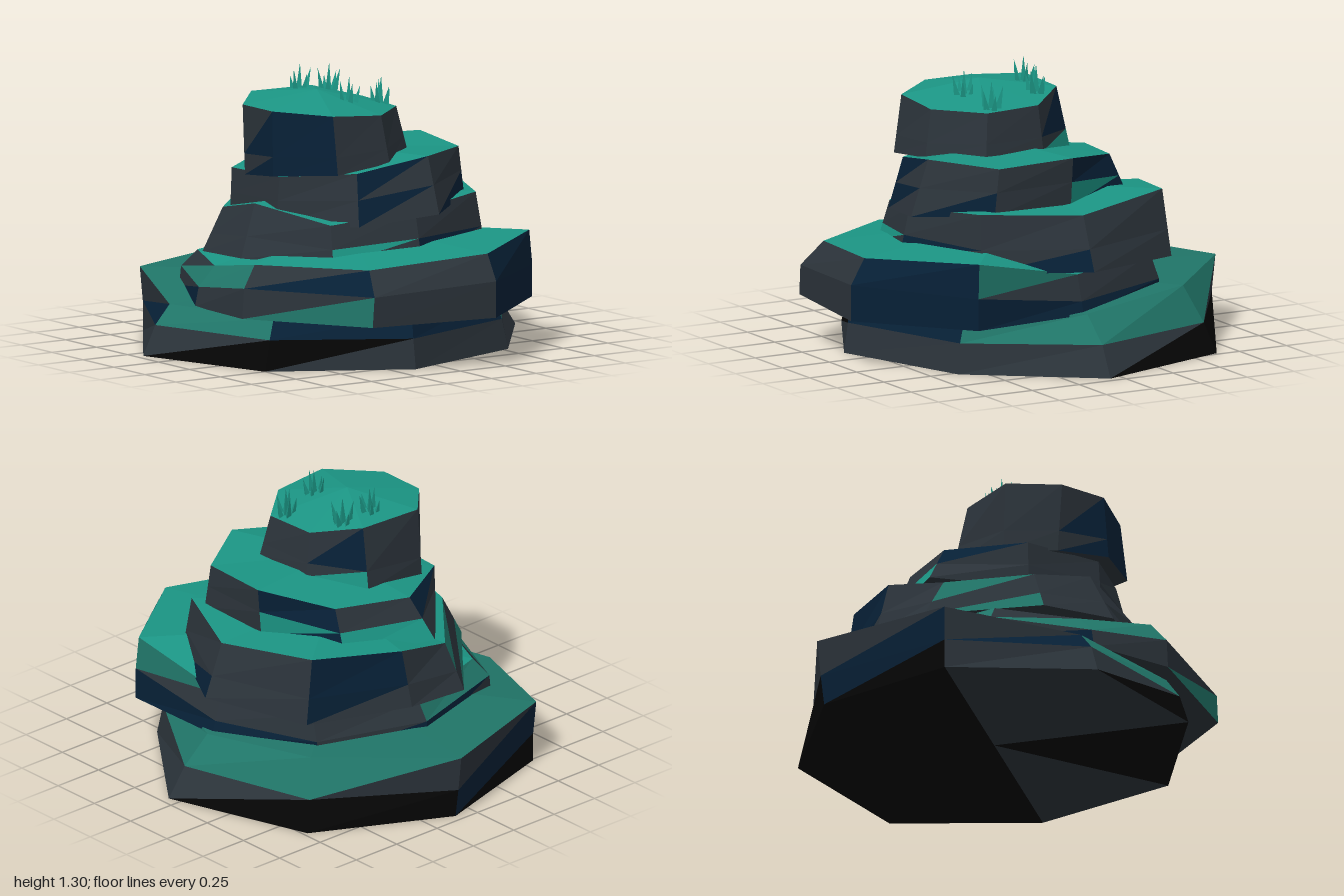
import * as THREE from 'three';

const mat = (name, color) => {
  const m = new THREE.MeshStandardMaterial({ color });
  m.name = name;
  return m;
};

// Outline part of the way up between two rings
const between = (lo, hi, t) => lo.map((p, i) => p.map((v, k) => v + (hi[i][k] - v) * t));

// Stacks outline rings [x, y, z] into a closed slab. Each wall quad takes two
// colour letters, one for each triangle; the caps are fans to a centre point.
function slab(name, mats, rings, walls, topCentre, topKey = 't', under = 'sssssssss') {
  const keys = Object.keys(mats);
  const buckets = Object.fromEntries(keys.map((k) => [k, []]));
  const tri = (key, ...pts) => buckets[key].push(...pts.flat());
  const n = rings[0].length;
  const top = rings[rings.length - 1];
  const baseCentre = [0, 0, 0];
  rings[0].forEach((p) => p.forEach((v, k) => { baseCentre[k] += v / n; }));

  for (let i = 0; i < n; i++) {
    const j = (i + 1) % n;
    walls.forEach((pattern, b) => {
      const lo = rings[b], hi = rings[b + 1];
      const quad = pattern.split(' ')[i];
      tri(quad[0], lo[i], hi[i], lo[j]);
      tri(quad[1], lo[j], hi[i], hi[j]);
    });
    tri(topKey, topCentre, top[j], top[i]);
    tri(under[i], baseCentre, rings[0][i], rings[0][j]);
  }

  const geo = new THREE.BufferGeometry();
  const positions = [];
  keys.forEach((k, m) => {
    if (buckets[k].length) geo.addGroup(positions.length / 3, buckets[k].length / 3, m);
    positions.push(...buckets[k]);
  });
  geo.setAttribute('position', new THREE.Float32BufferAttribute(positions, 3));
  geo.computeVertexNormals();
  const mesh = new THREE.Mesh(geo, keys.map((k) => mats[k]));
  mesh.name = name;
  return mesh;
}

// A clump of pointed blades leaning outwards
function grassTuft(material, x, y, z, turn) {
  const tuft = new THREE.Group();
  tuft.name = 'grassTuft';
  for (let i = 0; i < 6; i++) {
    const h = i === 0 ? 0.17 : 0.11 + 0.02 * (i % 3);
    const geo = new THREE.ConeGeometry(0.024, h, 3).translate(0, h / 2, 0).toNonIndexed();
    geo.computeVertexNormals();
    const blade = new THREE.Mesh(geo, material);
    blade.name = 'grassBlade';
    const a = turn + (i * Math.PI * 2) / 5;
    const r = i === 0 ? 0 : 0.022;
    blade.position.set(Math.cos(a) * r, 0, Math.sin(a) * r);
    blade.rotation.set(Math.sin(a) * r * 10, 0, -Math.cos(a) * r * 10);
    tuft.add(blade);
  }
  tuft.position.set(x, y, z);
  return tuft;
}

export function createModel() {
  const model = new THREE.Group();
  model.name = 'layeredRock';
  const mats = {
    t: mat('mossTeal', 0x1b9584),
    d: mat('deepTeal', 0x207568),
    s: mat('slateGrey', 0x2b333a),
    n: mat('deepNavy', 0x072036),
    k: mat('nearBlack', 0x050505),
  };

  // Wide foot of the rock
  model.add(slab('baseSlab', mats, [
    [[0.96, 0, 0.06], [0.53, 0, 0.62], [-0.14, 0, 0.84], [-0.75, 0, 0.5],
      [-0.96, 0, -0.18], [-0.56, 0, -0.76], [0.1, 0, -0.96], [0.73, 0, -0.64]],
    [[0.87, 0.14, 0.05], [0.51, 0.14, 0.6], [-0.14, 0.14, 0.82], [-0.71, 0.14, 0.48],
      [-0.9, 0.14, -0.17], [-0.56, 0.14, -0.76], [0.1, 0.14, -0.98], [0.68, 0.14, -0.6]],
    [[0.73, 0.26, 0.05], [0.48, 0.24, 0.56], [-0.12, 0.24, 0.78], [-0.66, 0.23, 0.44],
      [-0.82, 0.23, -0.17], [-0.57, 0.3, -0.77], [0.1, 0.31, -1], [0.61, 0.31, -0.53]],
  ], [
    'ss ss sk ks ss kn kk ks',
    'dd nn nn dd ns ns sd dd',
  ], [0, 0.33, 0], 'd', 'ksksskkk'));

  // Second slab, pushed towards the front
  model.add(slab('lowerSlab', mats, [
    [[0.68, 0.23, 0.6], [0.2, 0.23, 1], [-0.43, 0.23, 0.91], [-0.78, 0.23, 0.36],
      [-0.76, 0.23, -0.05], [-0.55, 0.25, -0.48], [0, 0.25, -0.66], [0.5, 0.25, -0.47], [0.7, 0.25, 0.05]],
    [[0.68, 0.38, 0.6], [0.2, 0.4, 1], [-0.42, 0.37, 0.91], [-0.77, 0.37, 0.36],
      [-0.74, 0.32, -0.05], [-0.54, 0.34, -0.48], [0, 0.34, -0.65], [0.51, 0.33, -0.46], [0.68, 0.31, 0.05]],
    [[0.67, 0.54, 0.59], [0.2, 0.52, 0.93], [-0.38, 0.48, 0.81], [-0.69, 0.47, 0.33],
      [-0.65, 0.41, -0.05], [-0.49, 0.42, -0.42], [0, 0.43, -0.59], [0.5, 0.45, -0.42], [0.64, 0.43, 0.05]],
  ], [
    'nn ss ds ss ns sn ns nn nn',
    'nn ss ns dd ds dd ss ss sd',
  ], [0, 0.57, 0.05]));

  // Middle slab, pushed back and to the left
  const middleLow = [[0.76, 0.46, 0.03], [0.5, 0.45, 0.48], [0.03, 0.48, 0.64], [-0.38, 0.46, 0.52],
    [-0.64, 0.47, 0.15], [-0.6, 0.45, -0.22], [-0.24, 0.42, -0.64], [0.1, 0.45, -0.66], [0.59, 0.45, -0.48]];
  const middleTop = [[0.66, 0.71, 0.03], [0.46, 0.72, 0.46], [0.03, 0.69, 0.59], [-0.36, 0.64, 0.47],
    [-0.53, 0.71, 0.1], [-0.5, 0.65, -0.2], [-0.23, 0.62, -0.52], [0.1, 0.71, -0.59], [0.54, 0.76, -0.46]];
  model.add(slab('middleSlab', mats, [middleLow, between(middleLow, middleTop, 0.4), middleTop], [
    'ns sn st ss ss ds ss sn ss',
    'ss ss ss ss ss sd ss nn ss',
  ], [0, 0.74, 0]));

  // Upper slab with its back edge spreading out below
  const upperLow = [[0.46, 0.71, -0.02], [0.45, 0.7, 0.38], [0.13, 0.67, 0.64], [-0.25, 0.63, 0.54],
    [-0.48, 0.62, 0.2], [-0.46, 0.6, -0.2], [-0.15, 0.67, -0.54], [0.3, 0.68, -0.42]];
  const upperTop = [[0.48, 0.94, -0.02], [0.44, 0.92, 0.35], [0.13, 0.93, 0.55], [-0.22, 0.87, 0.48],
    [-0.46, 0.84, 0.2], [-0.45, 0.83, -0.2], [-0.1, 0.86, -0.42], [0.28, 0.89, -0.33]];
  model.add(slab('upperSlab', mats, [upperLow, between(upperLow, upperTop, 0.5), upperTop], [
    'ss ns sn ss ss ss tt nt',
    'ss ss sn ss ss sn ss nn',
  ], [-0.05, 0.93, 0.05]));

  // Cap with a slightly peaked top
  const capLow = [[0.19, 0.92, -0.03], [0.2, 0.92, 0.28], [-0.03, 0.9, 0.47], [-0.32, 0.87, 0.47],
    [-0.51, 0.85, 0.22], [-0.48, 0.82, -0.05], [-0.33, 0.82, -0.25], [0.02, 0.88, -0.27]];
  const capTop = [[0.16, 1.13, -0.02], [0.16, 1.12, 0.25], [-0.05, 1.12, 0.43], [-0.32, 1.14, 0.43],
    [-0.5, 1.15, 0.2], [-0.5, 1.15, -0.04], [-0.32, 1.17, -0.23], [0, 1.17, -0.21]];
  model.add(slab('topSlab', mats, [capLow, between(capLow, capTop, 0.3), capTop], [
    'ss ss ss nn ns ss ss ts',
    'ss ss ss nn ns ss ss ns',
  ], [-0.18, 1.21, 0.1]));

  // Grass on the cap
  [[-0.13, 1.13, -0.11, 0.2], [0.02, 1.12, -0.09, 1], [-0.09, 1.11, 0.23, 1.9], [0.11, 1.09, 0.2, 2.6]]
    .forEach((p) => model.add(grassTuft(mats.t, ...p)));

  return model;
}
